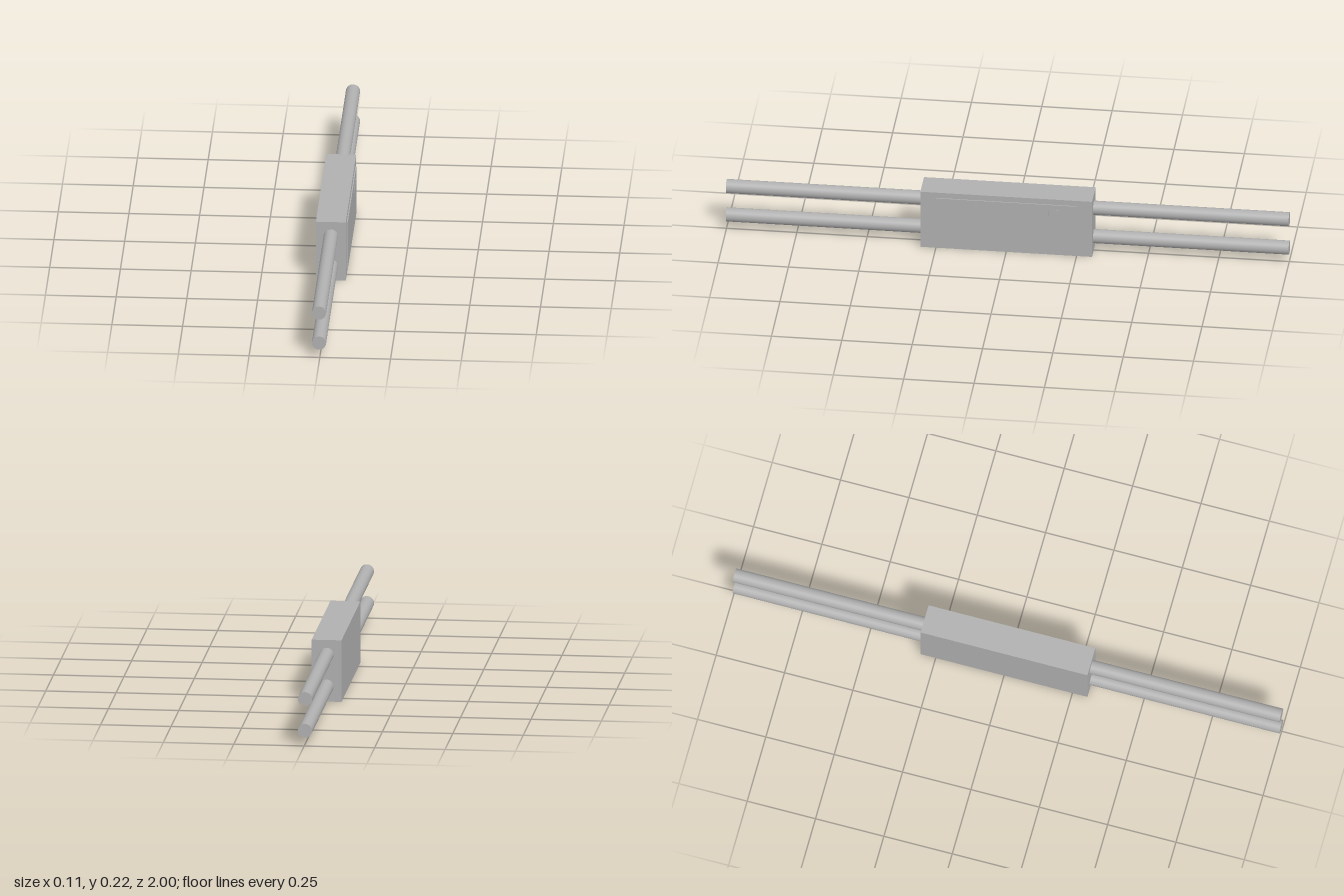
import * as THREE from 'three';

export function createModel() {
  const group = new THREE.Group();
  const grey = new THREE.MeshStandardMaterial({ color: 0xb0b0b0 });
  grey.name = 'plain grey';

  function add(name, geometry, x, y, z) {
    const mesh = new THREE.Mesh(geometry, grey);
    mesh.name = name;
    mesh.position.set(x, y, z);
    group.add(mesh);
    return mesh;
  }

  // Central housing
  add('housing', new THREE.BoxGeometry(0.106, 0.223, 0.61), -0.003, 0.1115, 0);

  // Raised cover plate on the left side
  add('coverPlate', new THREE.BoxGeometry(0.006, 0.18, 0.5), 0.051, 0.112, 0);

  // Small raised ridges near the rear top corner of the plate
  for (const z of [-0.112, -0.146, -0.182]) {
    add('ridge', new THREE.BoxGeometry(0.004, 0.024, 0.008), 0.054, 0.17, z);
  }

  // Two round rods out of each end of the housing
  const rodLength = 0.695;
  const rod = new THREE.CylinderGeometry(0.025, 0.025, rodLength, 48).rotateX(Math.PI / 2);
  for (const side of [1, -1]) {
    for (const [level, y] of [['lower', 0.055], ['upper', 0.17]]) {
      add(level + (side > 0 ? 'FrontRod' : 'BackRod'), rod, -0.003, y, side * (1 - rodLength / 2));
    }
  }
  return group;
}
